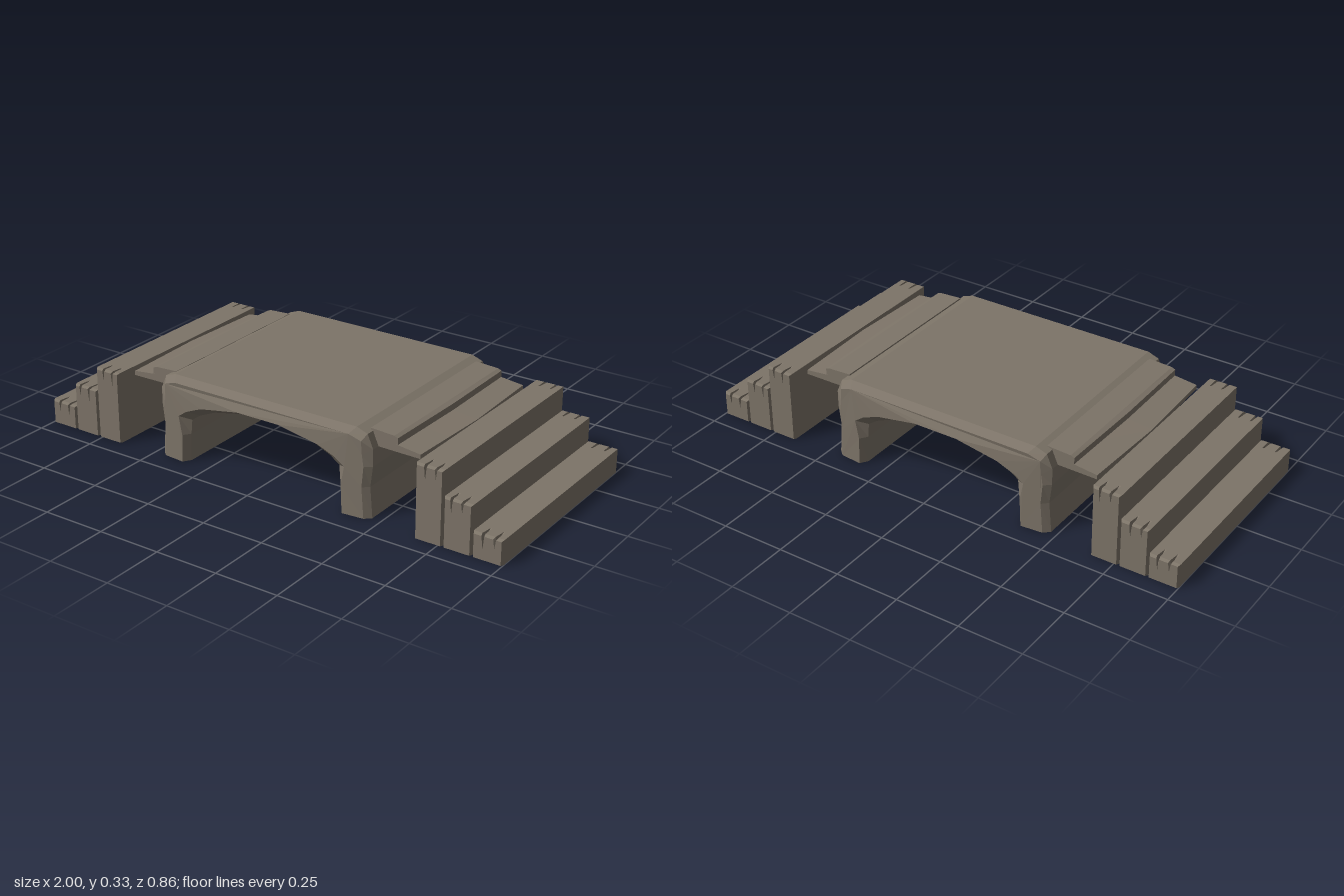
import * as THREE from 'three';

// Skin a list of rings (counter-clockwise in xy, ordered by rising z) with flat faces and end caps;
// the ground side (y = 0) stays open
function loft(rings) {
  const pos = [];
  const tri = (a, b, c) => pos.push(...a, ...b, ...c);
  for (let k = 0; k < rings.length - 1; k++) {
    const p = rings[k], q = rings[k + 1], n = p.length;
    for (let i = 0; i < n; i++) {
      const j = (i + 1) % n;
      if (p[i][1] === 0 && p[j][1] === 0) continue;
      tri(p[i], p[j], q[j]);
      tri(p[i], q[j], q[i]);
    }
  }
  const cap = (ring, back) => {
    const flat = ring.map(([x, y]) => new THREE.Vector2(x, y));
    for (const [a, b, c] of THREE.ShapeUtils.triangulateShape(flat, [])) {
      if (back) tri(ring[a], ring[c], ring[b]);
      else tri(ring[a], ring[b], ring[c]);
    }
  };
  cap(rings[0], true);
  cap(rings[rings.length - 1], false);
  const geo = new THREE.BufferGeometry();
  geo.setAttribute('position', new THREE.Float32BufferAttribute(pos, 3));
  geo.computeVertexNormals();
  return geo;
}

// Mirror rings to the other side of x = 0, keeping their winding
const mirror = rings => rings.map(r => r.map(([x, y, z]) => [-x, y, z]).reverse());

// Arched deck: outer and inner points paired from the foot to the crown
function archRing(z, inset) {
  const half = [
    [0.468, 0, 0.338, 0], [0.458, 0.12, 0.334, 0.11], [0.468, 0.2, 0.328, 0.168],
    [0.468, 0.265, 0.29, 0.195], [0.445, 0.318, 0.22, 0.225], [0.4, 0.334, 0.07, 0.257],
  ];
  const dz = x => z - Math.sign(z) * inset * 0.015 * (x / 0.45) ** 2;
  const outer = [], inner = [];
  for (const [xo, yo, xi, yi] of half) {
    // pull the end profile in so that its rim is bevelled
    const ox = xo - (xo - xi) * inset * (yo > 0.3 ? 0.054 : 0.18);
    const oy = yo - inset * (yo > 0.25 ? 0.022 : 0);
    const ix = xi + inset * (yi > 0.15 && yi < 0.25 ? 0.04 : 0.02);
    const iy = yi + inset * (yi > 0.15 ? 0.016 : 0);
    outer.push([ox - 0.006, oy, dz(xo)]);
    inner.push([ix - 0.006, iy, dz(xi)]);
  }
  const flip = list => list.map(([x, y, zz]) => [-x - 0.012, y, zz]);
  return [...outer, ...flip(outer).reverse(), ...flip(inner), ...inner.slice().reverse()];
}

// Stair beam with splits that die out away from its ends
function beamRings(x0, x1, h, seed) {
  const s = 0.05 * Math.sin(seed * 2.3);
  const ring = (z, inset, depth) => {
    const a = x0 + inset, b = x1 - inset, top = h - inset;
    const at = u => a + (b - a) * (u + s);
    return [
      [a, 0, z], [b, 0, z], [b, top * 0.55, z], [b, top, z],
      [at(0.77), top, z], [at(0.72), top - depth, z], [at(0.67), top, z],
      [at(0.35), top, z], [at(0.3), top - depth * 1.4, z], [at(0.25), top, z],
      [a, top, z], [a, top * 0.5, z],
    ];
  };
  return [
    ring(-0.43, 0.006, 0.035), ring(-0.42, 0, 0.018), ring(-0.375, 0, 0),
    ring(0.37, 0, 0), ring(0.415, 0, 0.018), ring(0.426, 0.006, 0.035),
  ];
}

// Thin plank with a slightly bowed outer edge
function plankRings(profile, bow) {
  return [-0.358, -0.18, 0, 0.18, 0.355].map(z => profile.map(([x, y, edge]) =>
    [x + (edge ? bow * (1 - Math.abs(z) / 0.358) : 0), y, z]));
}

export function createModel() {
  const model = new THREE.Group();
  const wood = new THREE.MeshStandardMaterial({ color: 0x7d7468, side: THREE.DoubleSide });
  wood.name = 'weathered wood';
  const add = (name, rings) => {
    const mesh = new THREE.Mesh(loft(rings), wood);
    mesh.name = name;
    model.add(mesh);
  };

  add('archedDeck', [
    archRing(-0.43, 1), archRing(-0.392, 0), archRing(0.388, 0), archRing(0.426, 1),
  ]);

  const steps = [[0.655, 0.766, 0.285], [0.768, 0.88, 0.19], [0.882, 1, 0.095]];
  const lower = [[0.44, 0.265], [0.632, 0.263, 1], [0.632, 0.28, 1], [0.535, 0.291], [0.44, 0.291]];
  const upper = [[0.43, 0.291], [0.54, 0.291, 1], [0.54, 0.316, 1], [0.525, 0.322], [0.43, 0.327]];

  for (const [side, place] of [['left', r => r], ['right', mirror]]) {
    steps.forEach(([x0, x1, h], i) =>
      add(`${side}Step${3 - i}`, place(beamRings(x0, x1, h, i + (side === 'left' ? 1 : 5)))));
    add(`${side}LowerPlank`, place(plankRings(lower, 0.014)));
    add(`${side}UpperPlank`, place(plankRings(upper, 0.006)));
  }
  return model;
}
